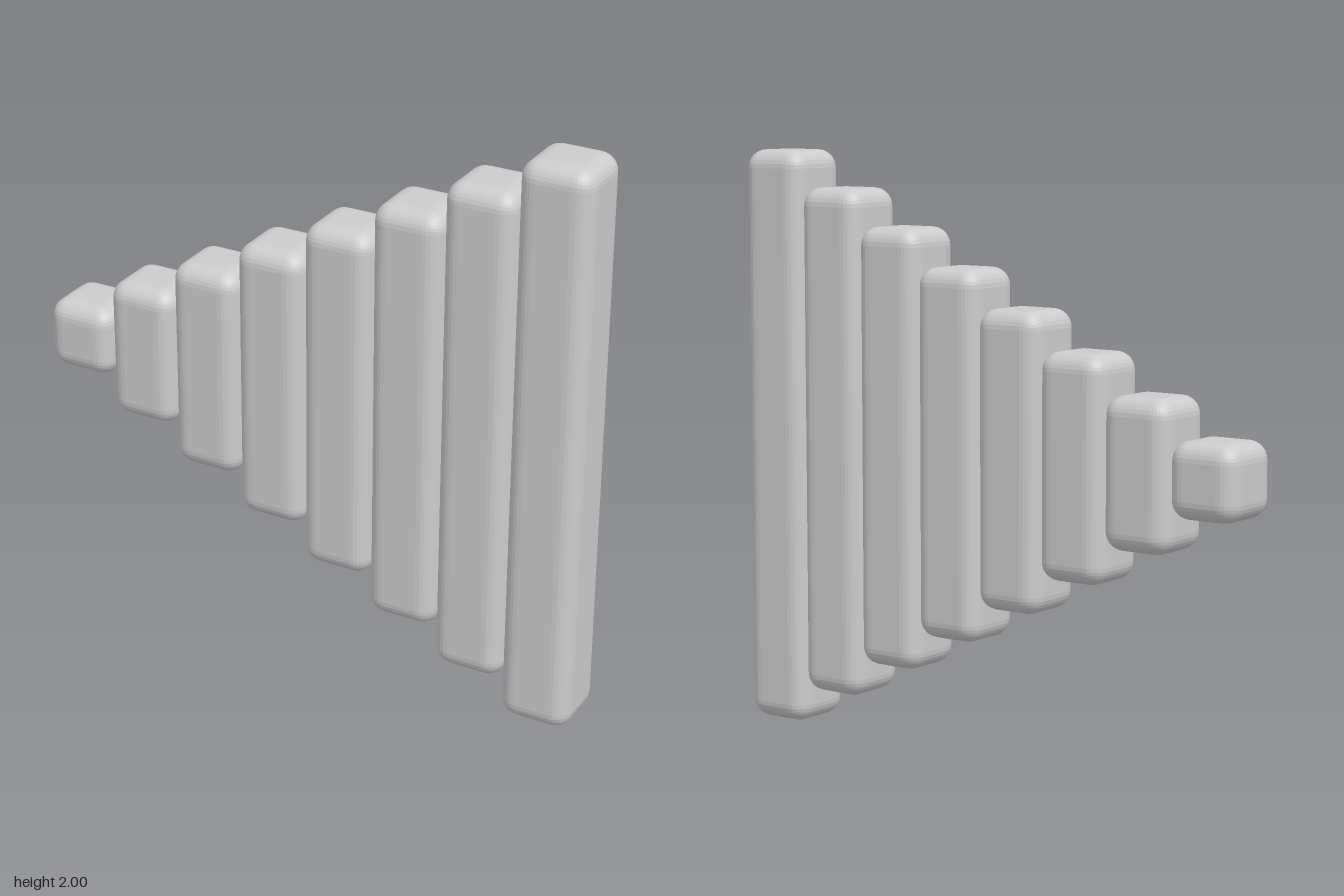
import * as THREE from 'three';
import { RoundedBoxGeometry } from 'three/addons/geometries/RoundedBoxGeometry.js';

const COUNT = 8;
const WIDTH = 0.25;
const RADIUS = 0.0625;

export function createModel() {
  const group = new THREE.Group();
  group.name = 'steppedBars';
  const material = new THREE.MeshStandardMaterial({ color: 0xcccccc, flatShading: true });

  // Row of rounded bars, growing by one width each and centred on the same height
  for (let i = 0; i < COUNT; i++) {
    const height = WIDTH * (i + 1);
    const bar = new THREE.Mesh(new RoundedBoxGeometry(WIDTH, height, WIDTH, 4, RADIUS), material);
    bar.name = `bar${i + 1}`;
    bar.position.set(-1 + WIDTH * (i + 0.5), 1, 0);
    group.add(bar);
  }
  return group;
}
